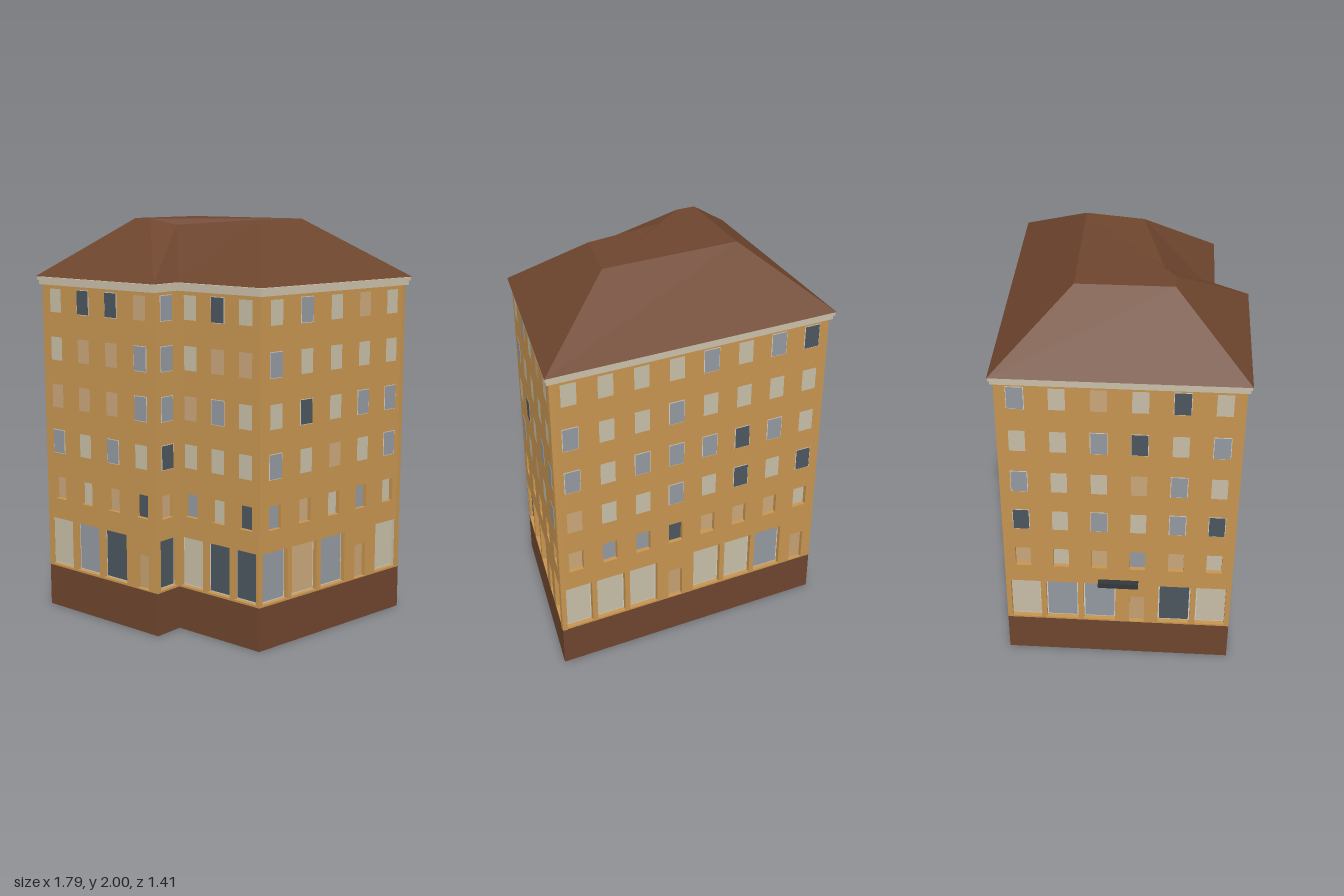
import * as THREE from 'three';

const mat = (name, color, side = THREE.DoubleSide) => {
  const m = new THREE.MeshStandardMaterial({ color, side });
  m.name = name;
  return m;
};

export function createModel() {
  const model = new THREE.Group();
  model.name = 'cornerBuilding';

  const ochre = mat('ochre plaster', 0xc69450);
  const brown = mat('brown roof and plinth', 0x6e452e);
  const cream = mat('cream cornice', 0xc9bea8);
  const white = mat('pale frame', 0xd2cec4);
  const dark = mat('dark metal', 0x35383a);
  const glass = {
    l: mat('light blind', 0xc6bda6),
    t: mat('tan curtain', 0xc9a67a),
    g: mat('grey glass', 0x9299a0),
    d: mat('dark glass', 0x4c565e),
    D: mat('door wood', 0xc4a070),
  };

  const add = (parent, name, geometry, material) => {
    const mesh = new THREE.Mesh(geometry, material);
    mesh.name = name;
    parent.add(mesh);
    return mesh;
  };

  const BASE = 0.215, TOP = 1.69, DEPTH = 0.025;
  const rowBottom = [1.54, 1.3, 1.06, 0.825, 0.58];

  // Footprint corners (x, z), running counterclockwise seen from above
  const foot = [[-0.87, 0.37], [-0.165, 0.64], [-0.105, 0.5], [0.36, 0.68], [0.865, -0.15], [-0.46, -0.68]];

  // One string per storey from the top down; letters pick the pane, D is a door
  const facades = [
    ['frontLeftWall', 'lddt', 'lttg', 'tttg', 'glgl', 'tltd', 'lgdD'],
    ['notchWall', 'g', 'g', 'g', 'd', 't', 'd'],
    ['frontRightWall', 'ldl', 'ltt', 'tgl', 'lll', 'gld', 'ldd'],
    ['sideWall', 'lgltl', 'gllll', 'ldlgg', 'gltlg', 'gtlgl', 'gtgDl'],
    ['backWall', 'llllglgd', 'gllgllll', 'glgggdgl', 'tllgldld', 'tggdtttl', 'lllDllgD'],
    ['oppositeSideWall', 'gltldl', 'llgdlg', 'glltgl', 'dlglgd', 'tltgtl', 'lggDdl'],
  ];

  facades.forEach(([name, ...rows], i) => {
    const [ax, az] = foot[i], [bx, bz] = foot[(i + 1) % foot.length];
    const length = Math.hypot(bx - ax, bz - az);
    const wall = new THREE.Group();
    wall.name = name;
    wall.position.set(ax, 0, az);
    wall.rotation.y = Math.atan2(az - bz, bx - ax);
    model.add(wall);

    const outline = new THREE.Shape([
      new THREE.Vector2(0, BASE), new THREE.Vector2(length, BASE),
      new THREE.Vector2(length, TOP), new THREE.Vector2(0, TOP),
    ]);
    const plate = (part, x, y, z, w, h, material) =>
      add(wall, part, new THREE.PlaneGeometry(w, h), material).position.set(x, y + h / 2, z);

    rows.forEach((row, r) => {
      const step = length / row.length;
      [...row].forEach((kind, c) => {
        const x = (c + 0.5) * step;
        const isDoor = kind === 'D', ground = r === 5;
        const w = ground && !isDoor ? step * 0.85 : 0.076;
        const h = isDoor ? 0.175 : ground ? 0.25 : 0.117;
        const y = ground ? (isDoor ? 0.22 : 0.225) : rowBottom[r];
        if (r < 4) {
          // Upper windows sit flush on the plaster
          if (kind === 'g' || kind === 'd') plate('windowFrame', x, y - 0.003, 0.001, w + 0.006, h + 0.006, white);
          plate('windowPane', x, y, 0.003, w, h, glass[kind]);
        } else {
          // Lower windows and doors are set back in openings
          outline.holes.push(new THREE.Path([
            new THREE.Vector2(x - w / 2, y), new THREE.Vector2(x - w / 2, y + h),
            new THREE.Vector2(x + w / 2, y + h), new THREE.Vector2(x + w / 2, y),
          ]));
          if (ground && !isDoor) plate('shopFrame', x, y, 0.001 - DEPTH, w, h, white);
          const inset = ground && !isDoor ? 0.012 : 0;
          plate(isDoor ? 'door' : 'recessedPane', x, y + inset / 2, 0.003 - DEPTH, w - inset, h - inset, glass[kind]);
          if (ground && !isDoor) plate('innerPane', x, y, -DEPTH - 0.001, w, h, glass[kind]);
        }
      });
    });

    const plaster = new THREE.ExtrudeGeometry(outline, { depth: DEPTH, bevelEnabled: false });
    plaster.translate(0, 0, -DEPTH);
    add(wall, 'plaster', plaster, ochre);
    plate('plinth', length / 2, 0, 0, length, BASE, brown);

    // Dark canopy over the side door
    if (i === 5) {
      add(wall, 'canopy', new THREE.BoxGeometry(0.2, 0.03, 0.03), dark).position.set(length * 0.5, 0.49, 0.015);
    }
  });

  // Roof eave corners
  const eave = [[-0.9, 0.38], [-0.155, 0.67], [-0.095, 0.52], [0.37, 0.7], [0.895, -0.16], [-0.475, -0.71]];

  // Cornice in two steps below the eave
  [[0.55, 1.675, 0.022], [0.85, 1.697, 0.016]].forEach(([t, y, h]) => {
    const ring = new THREE.Shape(foot.map(([x, z], i) =>
      new THREE.Vector2(x + (eave[i][0] - x) * t, -(z + (eave[i][1] - z) * t))));
    const geometry = new THREE.ExtrudeGeometry(ring, { depth: h, bevelEnabled: false });
    geometry.rotateX(-Math.PI / 2);
    geometry.translate(0, y, 0);
    add(model, 'cornice', geometry, cream);
  });

  // Hipped roof with a flat top and a valley above the notch
  const [A, B, C, D, E, F] = eave.map(([x, z]) => [x, 1.715, z]);
  const R = [-0.44, 2, 0.18], T = [-0.35, 2, 0.215], U = [-0.21, 1.97, 0.21];
  const S = [0.22, 2, 0.26], Q = [0.37, 2, 0.01], P = [-0.275, 2, -0.245];
  const faces = [
    [A, B, T, R], [B, C, U, T], [C, D, S, U], [D, E, Q, S], [E, F, P, Q], [F, A, R, P],
    [Q, P, R, T, U, S],
  ];
  const points = [];
  for (const f of faces) {
    for (let k = 1; k < f.length - 1; k++) points.push(...f[0], ...f[k], ...f[k + 1]);
  }
  const roof = new THREE.BufferGeometry();
  roof.setAttribute('position', new THREE.Float32BufferAttribute(points, 3));
  roof.computeVertexNormals();
  add(model, 'roof', roof, brown);

  return model;
}
